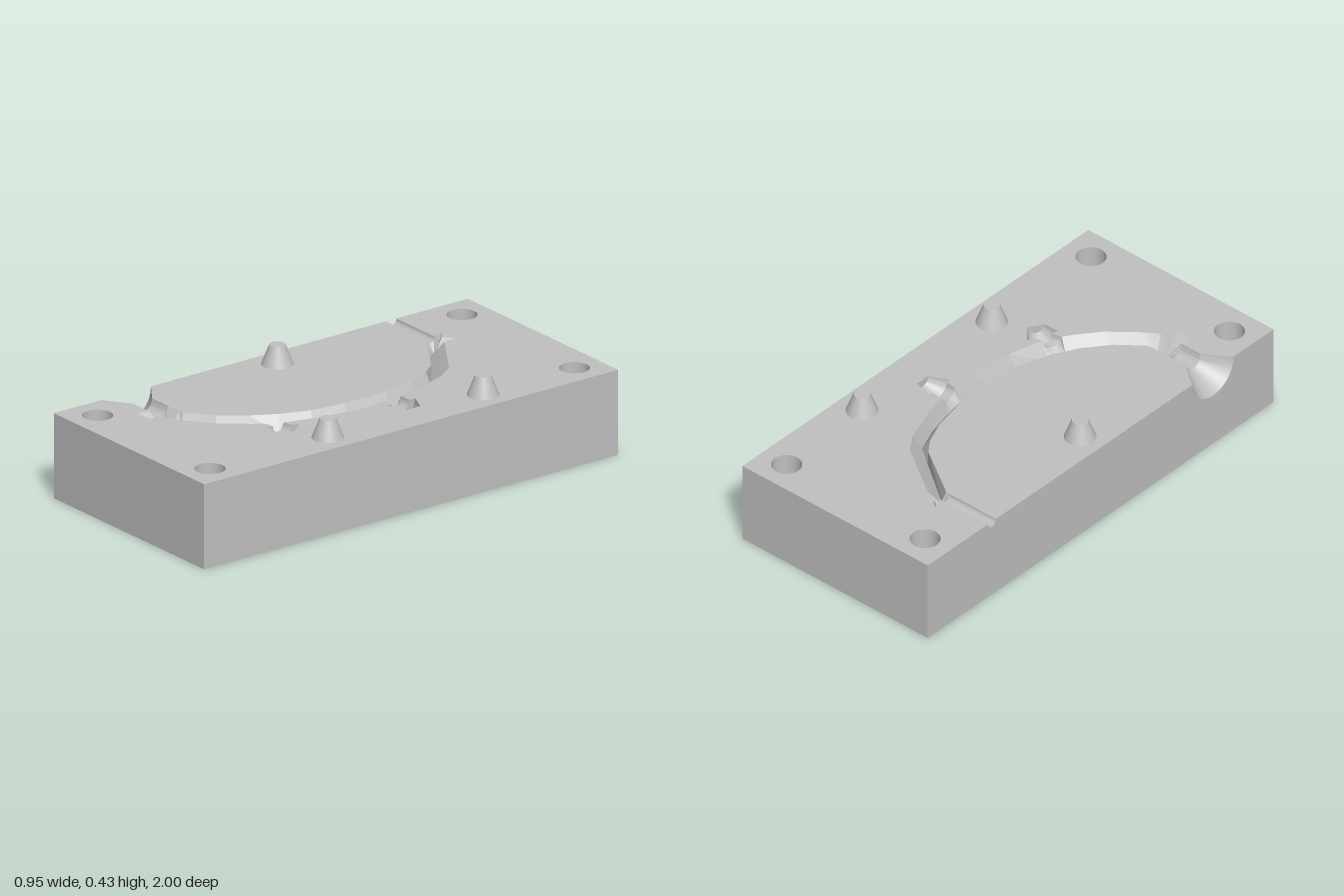
import * as THREE from 'three';
import { toCreasedNormals } from 'three/addons/utils/BufferGeometryUtils.js';

const H = 0.35, W = 0.475, D = 1, DEPTH = 0.065, SEG = 14;

// Curved groove stations: inner rim, floor line, outer rim, each as [x, z]
const inner = [[-.22, -.605], [0, -.46], [.045, -.4], [.085, -.3], [.115, -.15], [.12, .05], [.1, .2],
  [.055, .32], [0, .42], [-.08, .52], [-.18, .6], [-.2, .605]];
const floor = [[-.21, -.612], [.01, -.455], [.09, -.395], [.135, -.28], [.165, -.14], [.17, .06], [.145, .21],
  [.095, .34], [.03, .43], [-.05, .535], [-.16, .628], [-.19, .65]];
const outer = [[-.165, -.65], [.06, -.5], [.115, -.42], [.16, -.29], [.195, -.14], [.205, .03], [.18, .21],
  [.14, .36], [.08, .46], [0, .56], [-.12, .66], [-.17, .69]];

const lerp2 = (a, b, u) => [a[0] + (b[0] - a[0]) * u, a[1] + (b[1] - a[1]) * u];
function at(line, t) {
  const i = Math.min(Math.floor(t), line.length - 2);
  return lerp2(line[i], line[i + 1], t - i);
}
const p3 = ([x, z], y = H) => [x, y, z];

// Half-round cross-section hanging below the top between two rim points
function halfRound(L, R) {
  const r = Math.hypot(L[0] - R[0], L[1] - R[1]) / 2;
  return Array.from({ length: SEG + 1 }, (_, i) => {
    const a = Math.PI * i / SEG;
    return p3(lerp2(L, R, (1 - Math.cos(a)) / 2), H - r * Math.sin(a));
  });
}

// Surface through rows of equally many points
function loft(rows, crease = 0.5) {
  const n = rows[0].length, index = [];
  for (let j = 0; j < rows.length - 1; j++) {
    for (let i = 0; i < n - 1; i++) {
      const a = j * n + i, b = a + n;
      index.push(a, a + 1, b, a + 1, b + 1, b);
    }
  }
  const g = new THREE.BufferGeometry();
  g.setAttribute('position', new THREE.Float32BufferAttribute(rows.flat(2), 3));
  g.setIndex(index);
  return toCreasedNormals(g, crease);
}

export function createModel() {
  const group = new THREE.Group();
  const mat = new THREE.MeshStandardMaterial({ color: 0xc0c0c0, side: THREE.DoubleSide });
  mat.name = 'plain grey';
  const add = (name, geo, x = 0, y = 0, z = 0) => {
    const m = new THREE.Mesh(geo, mat);
    m.name = name;
    m.position.set(x, y, z);
    group.add(m);
  };
  const holes = [-.355, .355].flatMap(x => [-.88, .88].map(z => [x, z]));
  const HOLE_R = 0.06;

  // Flat plate facing up or down, pierced by the bolt holes
  function plate(points, y, up, pierced) {
    const s = up ? -1 : 1;
    const shape = new THREE.Shape(points.map(([x, z]) => new THREE.Vector2(x, z * s)));
    if (pierced) {
      for (const [x, z] of holes) {
        const h = new THREE.Path();
        h.absarc(x, z * s, HOLE_R, 0, Math.PI * 2, true);
        shape.holes.push(h);
      }
    }
    return new THREE.ShapeGeometry(shape, 16).rotateX(s * Math.PI / 2).translate(0, y, 0);
  }

  // Straight channels running to the left edge, as pairs of rim points
  const vent = [[[-W, -.655], [-W, -.605]], [[-.235, -.655], [-.235, -.605]]];
  const funnel = [[[-W, .53], [-W, .77]], [[-.37, .605], [-.37, .697]], [[-.27, .605], [-.27, .697]]];

  // Barbed pockets opening from the outer rim, t0..t1 along the groove
  const pockets = [
    { t0: 3.8, t1: 4.32, pairs: [[[.24, -.17], [.24, -.085]], [[.24, -.198], [.24, -.06]], [[.32, -.163], [.32, -.1]]] },
    { t0: 7, t1: 7.65, pairs: [[[.177, .347], [.145, .416]], [[.188, .32], [.135, .442]], [[.24, .385], [.203, .442]]] },
  ];
  for (const p of pockets) p.pairs.unshift([at(outer, p.t0), at(outer, p.t1)]);

  // Outer rim of the groove: plan outline plus the wall that dips at each pocket mouth
  const rim = [], wallTop = [], wallFoot = [];
  for (let i = 0; i < outer.length; i++) {
    const inside = pockets.some(p => i >= p.t0 && i <= p.t1);
    if (!inside) {
      rim.push(outer[i]);
      wallTop.push(p3(outer[i]));
      wallFoot.push(p3(floor[i], H - DEPTH));
    }
    for (const p of pockets) {
      if (Math.floor(p.t0) !== i) continue;
      rim.push(...p.pairs.map(q => q[0]), ...p.pairs.map(q => q[1]).reverse());
      halfRound(...p.pairs[0]).forEach((pt, k) => {
        const u = (1 - Math.cos(Math.PI * k / SEG)) / 2;
        wallTop.push(pt);
        wallFoot.push(p3(at(floor, p.t0 + (p.t1 - p.t0) * u), H - DEPTH));
      });
    }
  }

  // End pockets outlines
  const backTail = [[-.235, -.655], [-.25, -.705], [-.215, -.675], [-.17, -.71], outer[0]];
  const frontTail = [outer[11], [-.2, .697], [-.205, .745], [-.28, .745], [-.27, .697]];

  // Top surfaces
  add('topPlate', plate([[-W, -D], [W, -D], [W, D], [-W, D], [-W, .77], [-.37, .697],
    ...frontTail.slice().reverse(), ...rim.slice(1, -1).reverse(), ...backTail.slice().reverse(),
    [-W, -.655]], H, true, true));
  add('topIsland', plate([[-W, -.605], [-.235, -.605], ...inner, [-.27, .605], [-.37, .605], [-W, .53]], H, true, false));

  // Underside and outer walls
  const corners = [[-W, D], [W, D], [W, -D], [-W, -D]];
  add('underside', plate(corners, 0, false, true));
  add('outerWalls', loft([corners.map(c => p3(c)), corners.map(c => p3(c, 0))]));
  const edge = [[-D, 0], [D, 0], [D, H],
    ...halfRound(...funnel[0]).reverse().map(p => [p[2], p[1]]),
    ...halfRound(...vent[0]).reverse().map(p => [p[2], p[1]]), [-D, H]];
  add('notchedWall', new THREE.ShapeGeometry(new THREE.Shape(edge.map(e => new THREE.Vector2(...e))))
    .rotateY(-Math.PI / 2), -W);

  // Groove walls
  const foot = floor.map(p => p3(p, H - DEPTH));
  add('grooveInnerWall', loft([inner.map(p => p3(p)), foot], 0.1));
  add('grooveOuterWall', loft([wallFoot, wallTop], 0.1));

  // Channels and barbed pockets
  add('ventChannel', loft(vent.map(q => halfRound(...q))));
  add('pouringFunnel', loft(funnel.map(q => halfRound(...q))));
  for (const { pairs } of pockets) {
    const rows = pairs.map(q => halfRound(...q));
    const [L, R] = pairs[pairs.length - 1];
    rows.push(rows[0].map(() => p3(lerp2(L, R, .5))));
    add('barbPocket', loft(rows));
  }

  // Faceted end pockets joining the channels to the groove
  const pit = (name, loop, apex) => add(name, loft([loop, loop.map(() => apex)], 0.1));
  pit('backPocket', [...halfRound(...vent[1]).reverse(), ...backTail.map(p => p3(p)), foot[0],
    p3(inner[0]), p3([-.235, -.605])].slice(0), [-.205, H - DEPTH, -.632]);
  pit('frontPocket', [...halfRound(...funnel[2]).reverse(), p3(inner[11]), foot[11],
    ...frontTail.map(p => p3(p))], [-.225, H - DEPTH, .66]);

  // Bolt hole bores
  for (const [x, z] of holes) {
    add('boltHole', new THREE.CylinderGeometry(HOLE_R, HOLE_R, H, 32, 1, true), x, H / 2, z);
  }
  // Tapered locating pins
  for (const [x, z] of [[-.37, 0], [.367, .32], [.367, -.43]]) {
    add('locatingPin', new THREE.CylinderGeometry(.032, .063, .08, 32), x, H + .04, z);
  }
  return group;
}
